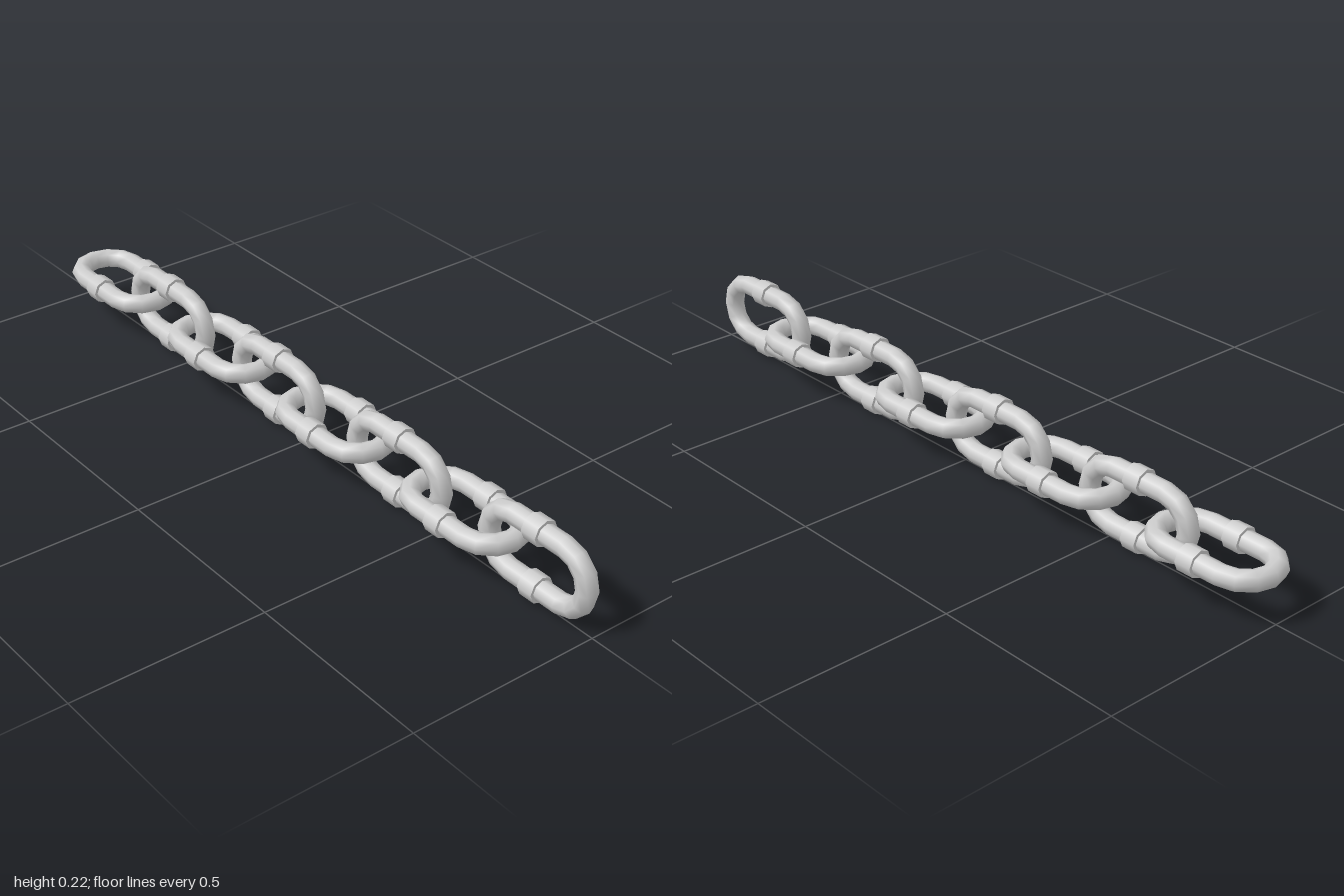
import * as THREE from 'three';

const LINKS = 8, PITCH = 0.2343;
const BEND = 0.075;      // radius of the end bends, along the rod's centre
const STRAIGHT = 0.079;  // half length of the straight sides
const ROD = 0.026, COLLAR = 0.034, COLLAR_WIDTH = 0.044;
const SIDES = 8, ARC = 6;

// Closed rod swept round an oblong in the xy plane
function linkGeometry() {
  const pos = [], nor = [], index = [];
  const rings = 2 * (ARC + 1);
  for (let i = 0; i < rings; i++) {
    const end = i <= ARC ? 1 : -1;
    const a = -Math.PI / 2 + Math.PI * (i % (ARC + 1)) / ARC + (end < 0 ? Math.PI : 0);
    const ca = Math.cos(a), sa = Math.sin(a);
    for (let j = 0; j < SIDES; j++) {
      const b = j / SIDES * Math.PI * 2, cb = Math.cos(b), sb = Math.sin(b);
      const r = BEND + ROD * cb;
      pos.push(end * STRAIGHT + r * ca, r * sa, ROD * sb);
      nor.push(cb * ca, cb * sa, sb);
      const i2 = (i + 1) % rings, j2 = (j + 1) % SIDES;
      const p = i * SIDES + j, q = i2 * SIDES + j, s = i2 * SIDES + j2, t = i * SIDES + j2;
      index.push(p, q, s, p, s, t);
    }
  }
  const g = new THREE.BufferGeometry();
  g.setAttribute('position', new THREE.Float32BufferAttribute(pos, 3));
  g.setAttribute('normal', new THREE.Float32BufferAttribute(nor, 3));
  g.setIndex(index);
  return g;
}

export function createModel() {
  const model = new THREE.Group();
  model.name = 'chain';
  const mat = new THREE.MeshStandardMaterial({ color: 0xcccccc });
  const rodGeo = linkGeometry();
  const collarGeo = new THREE.CylinderGeometry(COLLAR, COLLAR, COLLAR_WIDTH, SIDES).rotateZ(Math.PI / 2);

  // Links alternate between lying flat and standing upright
  for (let i = 0; i < LINKS; i++) {
    const link = new THREE.Group();
    link.name = i % 2 ? 'uprightLink' : 'flatLink';
    const rod = new THREE.Mesh(rodGeo, mat);
    rod.name = 'linkRod';
    link.add(rod);
    // A collar around the middle of each straight side
    for (const s of [-1, 1]) {
      const collar = new THREE.Mesh(collarGeo, mat);
      collar.name = 'collar';
      collar.position.y = s * BEND;
      link.add(collar);
    }
    link.position.set((i - (LINKS - 1) / 2) * PITCH, BEND + COLLAR, 0);
    if (i % 2 === 0) link.rotation.x = Math.PI / 2;
    model.add(link);
  }
  return model;
}
